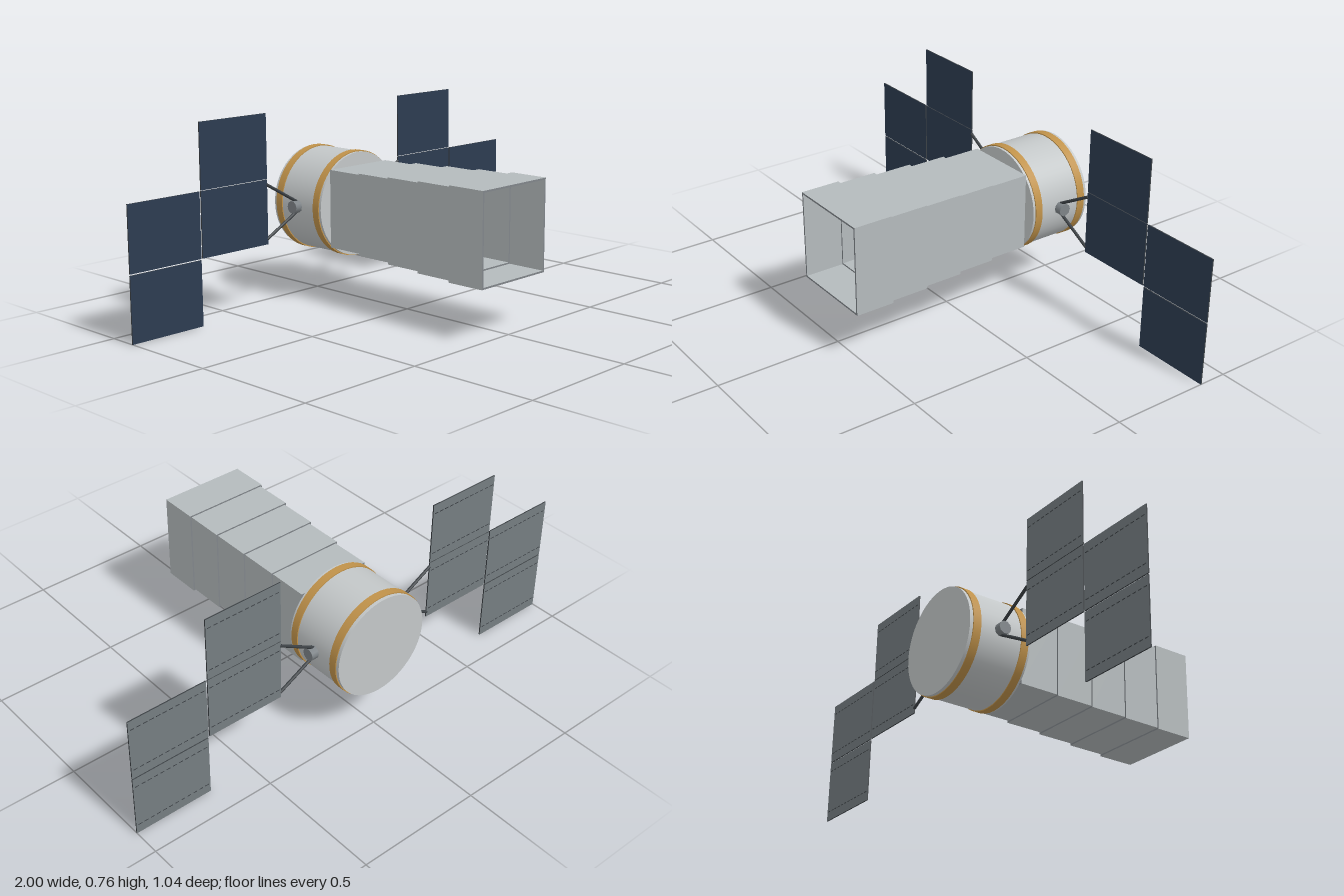
import * as THREE from 'three';

const mat = (name, color) => {
  const m = new THREE.MeshStandardMaterial({ color });
  m.name = name;
  return m;
};

export function createModel() {
  const root = new THREE.Group();
  root.name = 'spaceTelescope';
  const shell = mat('shell grey', 0xb4babc);
  const hull = mat('hull silver', 0xc3c7c8);
  const rim = mat('rim grey', 0x80858a);
  const gold = mat('gold band', 0xc0924a);
  const lens = mat('lens dark', 0x4a5253);
  const navy = mat('solar cell navy', 0x2c3b50);
  const backing = mat('panel backing grey', 0x757d81);
  const dark = mat('strut dark', 0x3c4145);
  const hubGrey = mat('hub grey', 0x7d8387);
  const Y = 0.38, PZ = -0.39;

  const add = (parent, name, geo, material, x = 0, y = 0, z = 0) => {
    const m = new THREE.Mesh(geo, material);
    m.name = name;
    m.position.set(x, y, z);
    parent.add(m);
    return m;
  };

  // Cylinder lying along z between two z values
  const barrel = (name, r, z0, z1, material) => add(root, name,
    new THREE.CylinderGeometry(r, r, z1 - z0, 48).rotateX(Math.PI / 2), material, 0, Y, (z0 + z1) / 2);

  // Rear hull with its two bands, and the dark lens inside the tube
  barrel('hull', 0.204, -0.52, -0.26, hull);
  barrel('frontBand', 0.208, -0.301, -0.27, gold);
  barrel('rearBand', 0.208, -0.507, -0.475, gold);
  barrel('lens', 0.146, -0.262, -0.254, lens);

  // Open square tube in five stepped sections, widening toward the front
  const square = (path, h) => path.moveTo(-h, -h).lineTo(h, -h).lineTo(h, h).lineTo(-h, h).closePath();
  const stops = [-0.26, -0.1, 0.055, 0.21, 0.365, 0.52];
  for (let i = 0; i < 5; i++) {
    const h = 0.152 + i * 0.006;
    const shape = square(new THREE.Shape(), h);
    shape.holes.push(square(new THREE.Path(), h - 0.007));
    const geo = new THREE.ExtrudeGeometry(shape, { depth: stops[i + 1] - stops[i], bevelEnabled: false });
    add(root, 'tubeSection' + (i + 1), geo, [rim, shell], 0, Y, stops[i]);
  }

  // Rod between two points
  const rod = (parent, name, a, b, r) => {
    const d = b.clone().sub(a);
    const m = add(parent, name, new THREE.CylinderGeometry(r, r, d.length(), 8), dark);
    m.position.copy(a).addScaledVector(d, 0.5);
    m.quaternion.setFromUnitVectors(new THREE.Vector3(0, 1, 0), d.normalize());
  };

  // Solar wings: hub, two struts and four staggered panels per side
  const W = 0.317, H = 0.25, T = 0.005;
  const panelFaces = [dark, dark, dark, dark, navy, backing];
  for (const s of [1, -1]) {
    const wing = new THREE.Group();
    wing.name = s > 0 ? 'leftWing' : 'rightWing';
    root.add(wing);
    add(wing, 'hub', new THREE.CylinderGeometry(0.025, 0.025, 0.04, 10).rotateZ(Math.PI / 2),
      hubGrey, s * 0.213, Y, PZ);
    for (const [y0, y1] of [[0.4, 0.488], [0.36, 0.276]]) {
      rod(wing, 'strut', new THREE.Vector3(s * 0.208, y0, PZ), new THREE.Vector3(s * 0.362, y1, PZ), 0.006);
    }
    for (const [x, y] of [[0.518, 0.634], [0.518, 0.381], [0.8415, 0.381], [0.8415, 0.126]]) {
      add(wing, 'solarPanel', new THREE.BoxGeometry(W, H, T), panelFaces, s * x, y, PZ);
      // Dashed seams on the back of the panel
      for (const e of [-1, 1]) {
        for (let k = 0; k < 12; k++) {
          add(wing, 'seamDash', new THREE.BoxGeometry(0.016, 0.003, 0.001), dark,
            s * x + (k - 5.5) * 0.026, y + e * 0.088, PZ - T / 2 - 0.0004);
        }
      }
    }
  }
  return root;
}
